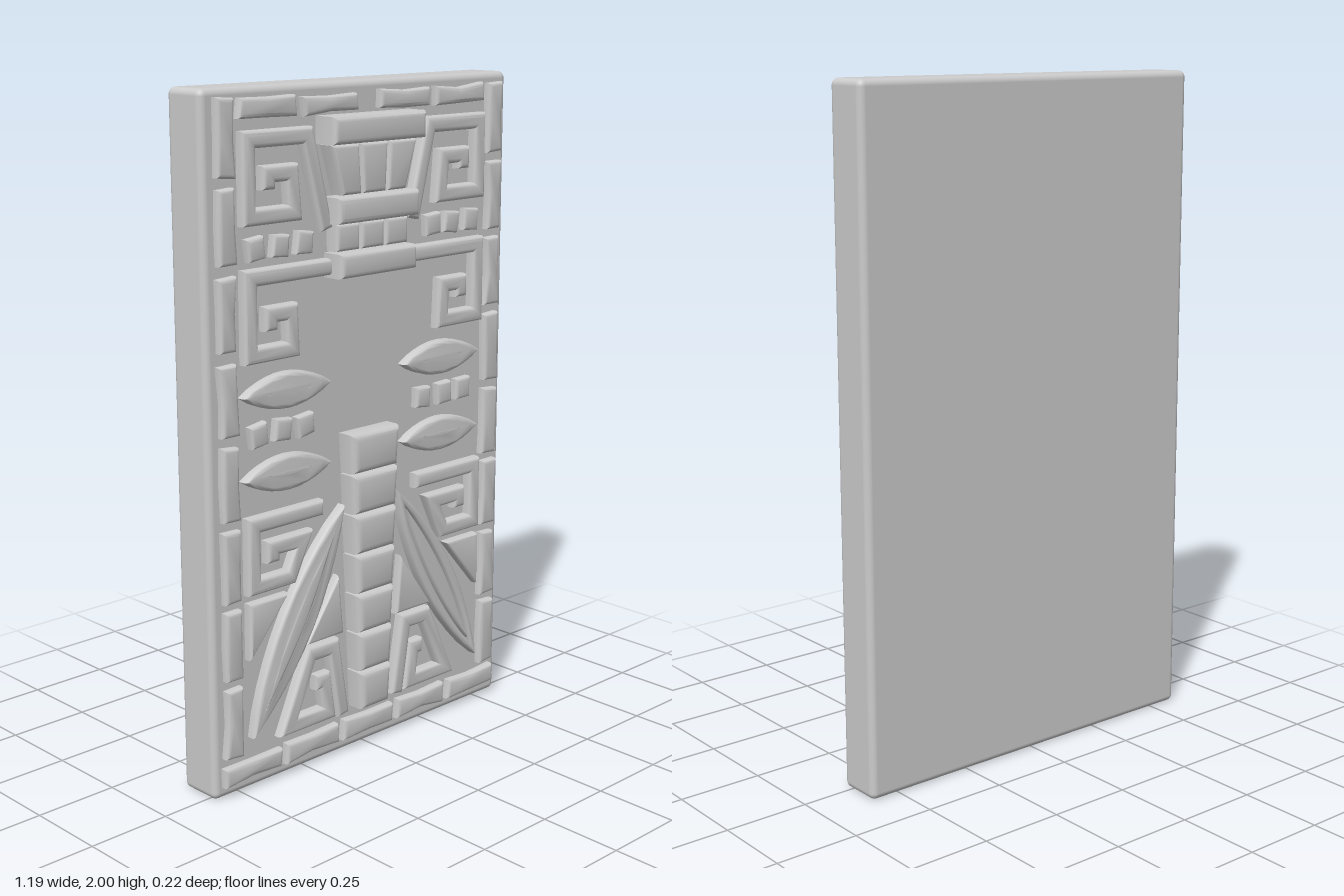
import * as THREE from 'three';
import { toCreasedNormals } from 'three/addons/utils/BufferGeometryUtils.js';
import { RoundedBoxGeometry } from 'three/addons/geometries/RoundedBoxGeometry.js';

const material = new THREE.MeshStandardMaterial({ color: 0xcccccc });
const SIDES = [['right', 1], ['left', -1]]; // outlines are drawn for -x, then mirrored
const V = (p) => new THREE.Vector2(p[0], p[1]);

let seed = 7;
const jitter = (a) => {
  seed = (seed * 16807) % 2147483647;
  return (seed / 2147483647 - 0.5) * 2 * a;
};

// Raised carving: outline with softly bevelled top, rooted inside the slab
function relief(name, outline, top, bevel = 0.012, hole = null) {
  const shape = new THREE.Shape(outline.map(V));
  if (hole) shape.holes.push(new THREE.Path(hole.map(V)));
  const depth = top - 2 * bevel;
  const geo = new THREE.ExtrudeGeometry(shape, {
    depth, bevelEnabled: true, bevelThickness: bevel, bevelSize: bevel,
    bevelOffset: -bevel, bevelSegments: 3,
  });
  geo.translate(0, 0, bevel);
  const mesh = new THREE.Mesh(toCreasedNormals(geo, 0.7), material);
  mesh.name = name;
  return mesh;
}

// Four-cornered outline; the top and bottom edges may differ in width
const quad = (x0, x1, y0, y1, inset = 0, rough = 0) => [
  [x0 + inset, y0], [x1 - inset, y0], [x1, y1], [x0, y1],
].map(([x, y]) => [x + jitter(rough), y + jitter(rough)]);

// Slightly waisted, irregular tile
function tile(x0, x1, y0, y1) {
  const r = 0.005, w = 0.004, cx = (x0 + x1) / 2, cy = (y0 + y1) / 2;
  const tall = y1 - y0 > x1 - x0;
  const pts = tall
    ? [[x0, y0], [x1, y0], [x1 - w, cy], [x1, y1], [x0, y1], [x0 + w, cy]]
    : [[x0, y0], [cx, y0 + w], [x1, y0], [x1, y1], [cx, y1 - w], [x0, y1]];
  return pts.map(([x, y]) => [x + jitter(r), y + jitter(r)]);
}

// Mitred band of constant width along a path
function band(path, width) {
  const left = [], right = [];
  const normal = (a, b) => V([a[1] - b[1], b[0] - a[0]]).normalize();
  path.forEach((p, i) => {
    const n1 = normal(path[Math.max(i - 1, 0)], path[Math.max(i, 1)]);
    const last = path.length - 1;
    const n2 = normal(path[Math.min(i, last - 1)], path[Math.min(i + 1, last)]);
    const n = n1.clone().add(n2).normalize();
    n.multiplyScalar(width / 2 / n.dot(n1));
    left.push([p[0] + n.x, p[1] + n.y]);
    right.unshift([p[0] - n.x, p[1] - n.y]);
  });
  return left.concat(right);
}

// Pointed leaf between two tips, optionally shortened by trim
function leaf(a, b, half, trim = 0) {
  const A = V(a), B = V(b), d = B.clone().sub(A).normalize();
  A.addScaledVector(d, trim);
  B.addScaledVector(d, -trim);
  const pts = [], steps = 10;
  for (let i = 0; i < steps * 2; i++) {
    const t = i < steps ? i / steps : 2 - i / steps;
    const w = half * Math.pow(Math.sin(Math.PI * t), 0.8) * (i < steps ? 1 : -1);
    const p = A.clone().lerp(B, t);
    pts.push([p.x - d.y * w, p.y + d.x * w]);
  }
  return pts;
}

export function createModel() {
  const model = new THREE.Group();
  model.name = 'carvedSlab';
  const add = (...args) => model.add(relief(...args));

  // Backing slab
  const slab = new THREE.Mesh(new RoundedBoxGeometry(1.19, 2, 0.14, 4, 0.02), material);
  slab.name = 'slab';
  slab.position.set(0, 1, -0.04);
  model.add(slab);

  // Border tiles
  for (let i = 0; i < 8; i++) {
    const y = 0.12 + i * 0.235;
    add('borderTileRight', tile(-0.56, -0.497, y, y + 0.208), 0.055);
    add('borderTileLeft', tile(0.495, 0.557, y, y + 0.208), 0.055);
  }
  for (const x of [-0.48, -0.25, 0.04, 0.27])
    add('borderTileTop', tile(x, x + 0.205, 1.915, 1.97), 0.055);
  for (let i = 0; i < 5; i++) {
    const x = -0.565 + i * 0.229;
    add('borderTileBottom', tile(x, x + 0.208, 0.04, 0.1), 0.055);
  }

  // Angular spirals
  const spirals = {
    upperSpiral: [[-0.172, 1.597], [-0.241, 1.862], [-0.453, 1.862], [-0.453, 1.656],
      [-0.289, 1.656], [-0.299, 1.767], [-0.384, 1.767], [-0.384, 1.725]],
    middleSpiral: [[-0.13, 1.492], [-0.453, 1.492], [-0.453, 1.279], [-0.3, 1.279],
      [-0.305, 1.385], [-0.38, 1.385], [-0.38, 1.34]],
    lowerSpiral: [[-0.19, 0.797], [-0.453, 0.797], [-0.453, 0.617], [-0.315, 0.617],
      [-0.268, 0.718], [-0.384, 0.718], [-0.384, 0.675]],
    bottomSpiral: [[-0.114, 0.13], [-0.151, 0.357], [-0.241, 0.357], [-0.331, 0.156],
      [-0.172, 0.156], [-0.188, 0.262], [-0.225, 0.262]],
  };
  const triangles = {
    outerTriangle: [[-0.474, 0.57], [-0.326, 0.57], [-0.474, 0.4]],
    innerTriangle: [[-0.13, 0.575], [-0.109, 0.39], [-0.262, 0.39]],
  };
  for (const [side, s] of SIDES) {
    const flip = (pts) => pts.map(([x, y]) => [x * s, y]);
    for (const [name, path] of Object.entries(spirals))
      add(`${name} ${side}`, flip(band(path, 0.047)), 0.062, 0.014);
    for (const [name, pts] of Object.entries(triangles))
      add(`${name} ${side}`, flip(pts), 0.058);

    // Long feather: outer rim with a slim core
    const a = [-0.109, 0.787], b = [-0.469, 0.162];
    add(`featherRim ${side}`, flip(leaf(a, b, 0.066)), 0.062, 0.01, flip(leaf(a, b, 0.033, 0.06)));
    add(`featherCore ${side}`, flip(leaf(a, b, 0.027, 0.075)), 0.062, 0.01);

    // Pointed rings
    const cx = s > 0 ? -0.32 : 0.3;
    for (const y of [1.165, 0.928])
      add(`pointedRing ${side}`, leaf([cx - 0.165, y], [cx + 0.165, y], 0.052), 0.06, 0.012,
        leaf([cx - 0.1, y], [cx + 0.1, y], 0.016));
  }

  // Rows of small square studs
  const studRows = [[1.57, [-0.428, -0.339, -0.25, 0.262, 0.338, 0.425]],
    [1.052, [-0.426, -0.337, -0.251, 0.225, 0.318, 0.399]]];
  for (const [y, xs] of studRows) for (const x of xs) {
    const stud = relief('stud', quad(-0.031, 0.031, -0.032, 0.032, 0, 0.002), 0.055, 0.01);
    stud.position.set(x, y, 0);
    stud.rotation.z = jitter(0.15);
    model.add(stud);
  }

  // Spine: a column of seven blocks narrowing downwards
  for (let i = 0; i < 7; i++) {
    const w = 0.098 - i * 0.0053, y = 0.999 - i * 0.1235;
    add('spineBlock', quad(-0.008 - w, -0.008 + w, y - 0.12, y, 0.008), 0.093, 0.022);
  }

  // Stepped headdress: three bars with bricks between
  add('headBarTop', quad(-0.19, 0.172, 1.833, 1.91), 0.11, 0.016);
  add('headBarMiddle', quad(-0.167, 0.151, 1.613, 1.687), 0.105, 0.016);
  add('headBarLower', quad(-0.16, 0.142, 1.46, 1.53), 0.105, 0.016);
  const edges = [[-0.177, -0.135], [-0.066, -0.056], [0.047, 0.04], [0.162, 0.12]];
  for (let i = 0; i < 3; i++) {
    const [[t0, b0], [t1, b1]] = [edges[i], edges[i + 1]];
    add('headBrickUpper', [[b0 + 0.003, 1.69], [b1 - 0.003, 1.69], [t1 - 0.003, 1.83], [t0 + 0.003, 1.83]], 0.082, 0.012);
    const x = -0.15 + i * 0.096;
    add('headBrickLower', quad(x, x + 0.09, 1.533, 1.61), 0.075, 0.012);
  }
  return model;
}
